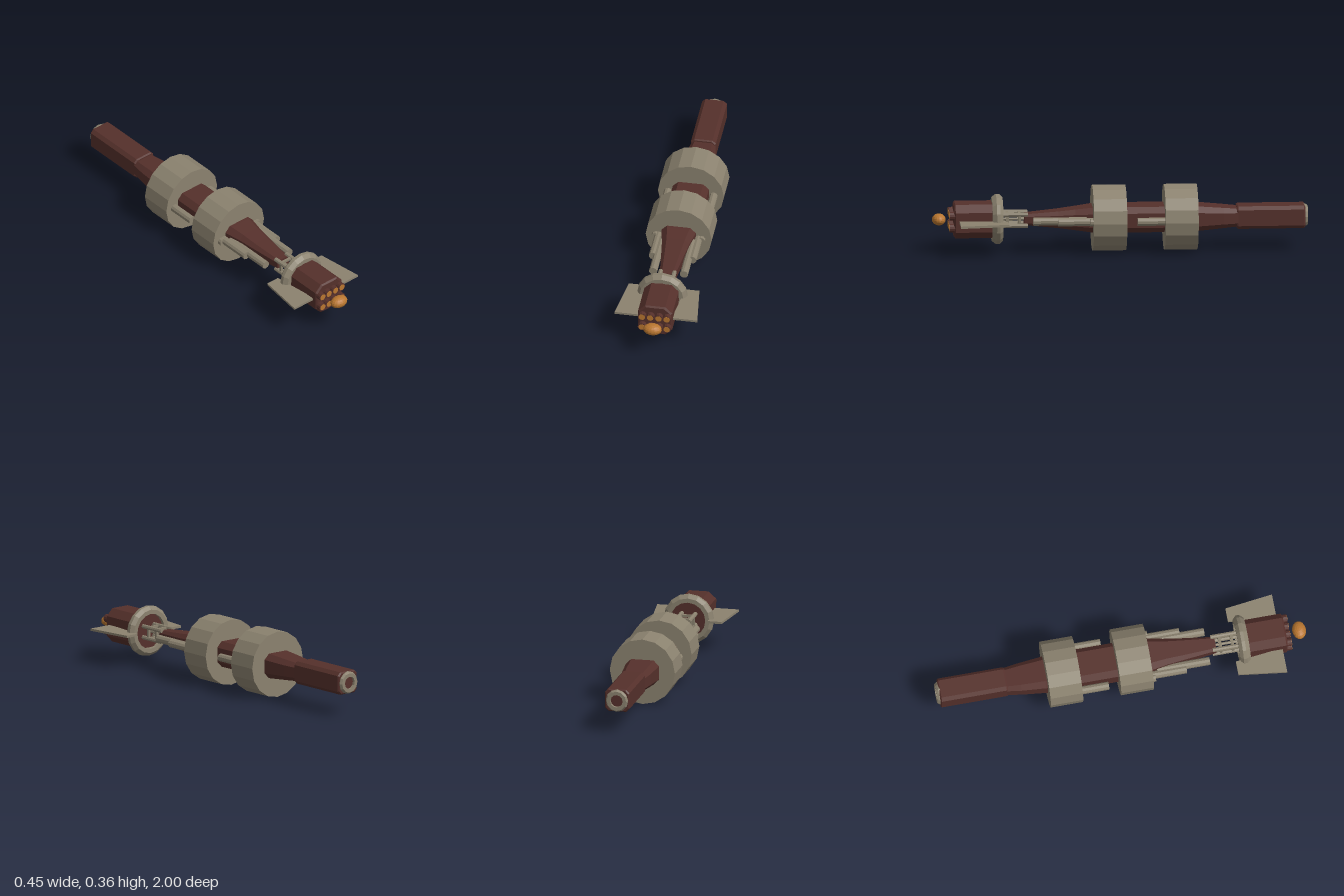
import * as THREE from 'three';

const mat = (color, flatShading = true) =>
  new THREE.MeshStandardMaterial({ color, flatShading, side: THREE.DoubleSide });

export function createModel() {
  const hull = mat(0x55302b), metal = mat(0x8b826f), glow = mat(0xb87630);
  const model = new THREE.Group();
  const ship = new THREE.Group();
  ship.name = 'ship';
  ship.position.y = 0.178;
  model.add(ship);

  function add(name, geometry, material, x = 0, y = 0, z = 0) {
    const mesh = new THREE.Mesh(geometry, material);
    mesh.name = name;
    mesh.position.set(x, y, z);
    ship.add(mesh);
    return mesh;
  }

  // Cylinder lying along z, between z0 and z1
  function rod(name, r, z0, z1, x, y, material, sides = 10) {
    const g = new THREE.CylinderGeometry(r, r, z1 - z0, sides).rotateX(Math.PI / 2);
    return add(name, g, material, x, y, (z0 + z1) / 2);
  }

  // Loft of chamfered rectangles: [z, half width, half height, chamfer], back to front
  function loft(name, sections, material) {
    const pos = [], idx = [], n = 8;
    for (const [z, w, h, c] of sections) {
      const ring = [[w, h - c], [w - c, h], [c - w, h], [-w, h - c],
        [-w, c - h], [c - w, -h], [w - c, -h], [w, c - h]];
      for (const [x, y] of ring) pos.push(x, y, z);
    }
    for (let s = 0; s < sections.length - 1; s++) {
      for (let i = 0; i < n; i++) {
        const a = s * n + i, b = s * n + (i + 1) % n;
        idx.push(a, b, b + n, a, b + n, a + n);
      }
    }
    const last = (sections.length - 1) * n;
    for (let i = 1; i < n - 1; i++) {
      idx.push(0, i + 1, i, last, last + i, last + i + 1);
    }
    const g = new THREE.BufferGeometry();
    g.setAttribute('position', new THREE.Float32BufferAttribute(pos, 3));
    g.setIndex(idx);
    g.computeVertexNormals();
    return add(name, g, material);
  }

  // Ring turned around z from a closed profile of [radius, z]
  function turned(name, profile, sides, material) {
    const pts = profile.map(([r, z]) => new THREE.Vector2(r, z));
    return add(name, new THREE.LatheGeometry(pts, sides).rotateX(Math.PI / 2), material);
  }

  // Central hull, tapering to both ends
  loft('mainHull', [
    [-0.63, 0.066, 0.048, 0.02], [-0.55, 0.078, 0.055, 0.025], [-0.42, 0.09, 0.066, 0.03],
    [-0.37, 0.097, 0.069, 0.03], [0.12, 0.097, 0.069, 0.03], [0.16, 0.09, 0.066, 0.03],
    [0.24, 0.074, 0.056, 0.025], [0.33, 0.062, 0.045, 0.02], [0.51, 0.04, 0.029, 0.012],
  ], hull);

  // Rear engine block and its ring
  loft('engineBlock', [
    [-0.985, 0.061, 0.055, 0.016], [-0.978, 0.067, 0.061, 0.018],
    [-0.628, 0.067, 0.061, 0.018], [-0.62, 0.062, 0.056, 0.016],
  ], hull);
  turned('engineRing', [[0.034, -0.98], [0.034, -1], [0.053, -1], [0.061, -0.988], [0.061, -0.975]], 12, metal);

  // Two large habitat drums
  rod('frontDrum', 0.178, -0.03, 0.147, 0, 0, metal, 16);
  rod('rearDrum', 0.178, -0.41, -0.235, 0, 0, metal, 16);

  // Stepped side tubes
  for (const s of [-1, 1]) {
    rod('rearTube', 0.022, -0.3, -0.088, s * 0.123, 0, metal);
    rod('midTube', 0.022, 0.1, 0.165, s * 0.123, 0, metal);
    rod('frontTube', 0.022, 0.1, 0.335, s * 0.107, 0, metal);
    rod('tipTube', 0.022, 0.18, 0.465, s * 0.083, 0, metal);
  }

  // Open truss neck: four rails with cross bars
  for (const x of [-0.037, 0.037]) {
    for (const y of [-0.03, 0.03]) rod('neckRail', 0.012, 0.49, 0.67, x, y, metal, 8);
  }
  for (const z of [0.535, 0.6]) {
    for (const s of [-1, 1]) {
      add('neckRung', new THREE.BoxGeometry(0.074, 0.012, 0.014), metal, 0, s * 0.03, z);
      add('neckPost', new THREE.BoxGeometry(0.012, 0.06, 0.014), metal, s * 0.037, 0, z);
    }
  }
  rod('neckCore', 0.008, 0.49, 0.67, 0, 0, metal, 8);

  // Collar ring behind the head
  turned('collar', [[0.095, 0.625], [0.118, 0.625], [0.136, 0.642], [0.136, 0.66],
    [0.119, 0.682], [0.095, 0.682], [0.095, 0.625]], 16, metal);

  // Head with chamfered front
  loft('head', [
    [0.645, 0.092, 0.091, 0.038], [0.878, 0.092, 0.091, 0.038], [0.886, 0.084, 0.083, 0.035],
  ], hull);

  // Two rows of four launch tubes
  for (const x of [-0.067, -0.0225, 0.0225, 0.067]) {
    for (const y of [-0.033, 0.033]) {
      rod('launchTube', 0.0225, 0.87, 0.909, x, y, hull, 12);
      rod('launchTubeLight', 0.0175, 0.88, 0.911, x, y, glow, 12);
    }
  }

  // Floating lamp at the nose
  const lamp = add('noseLamp', new THREE.SphereGeometry(1, 16, 10), glow, 0, 0.002, 0.963);
  lamp.scale.set(0.05, 0.031, 0.037);

  // Flat side fins
  for (const s of [-1, 1]) {
    const fin = new THREE.Shape([[0.115, 0.6], [0.19, 0.6], [0.223, 0.858], [0.085, 0.858]]
      .map(([x, z]) => new THREE.Vector2(s * x, z)));
    const g = new THREE.ExtrudeGeometry(fin, { depth: 0.012, bevelEnabled: false });
    add('fin', g.rotateX(Math.PI / 2), metal, 0, 0.008, 0);
  }
  return model;
}
